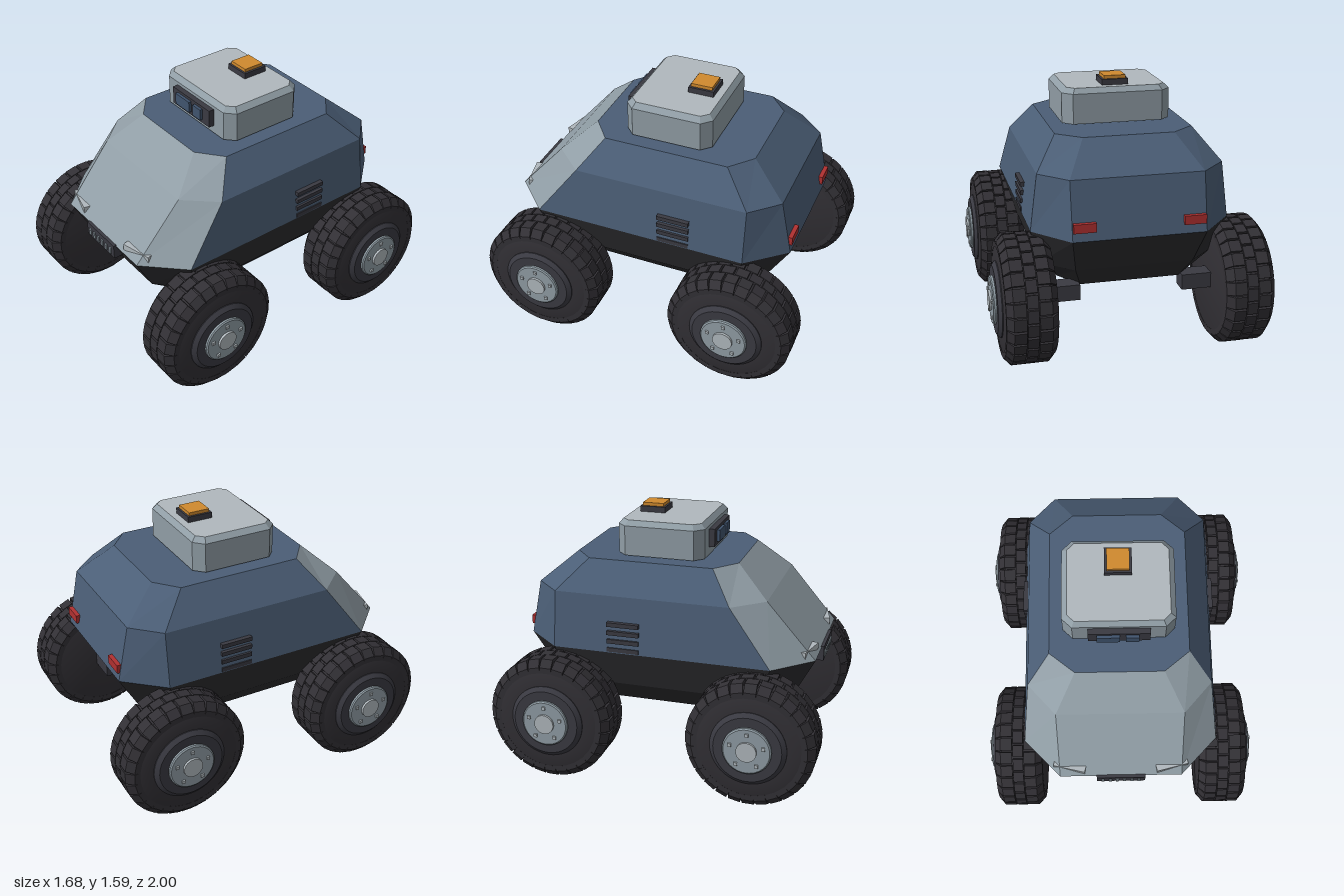
import * as THREE from 'three';
import { mergeGeometries, toCreasedNormals } from 'three/addons/utils/BufferGeometryUtils.js';

const mat = (name, color, flat = false) => {
  const m = new THREE.MeshStandardMaterial({ color, flatShading: flat });
  m.name = name;
  return m;
};

export function createModel() {
  const model = new THREE.Group();
  model.name = 'armouredRover';
  const blue = mat('blueArmour', 0x4b5e76, true);
  const grey = mat('greyArmour', 0x909da5, true);
  const pale = mat('paleMetal', 0xb0b8bd);
  const dark = mat('darkChassis', 0x2b2b2e, true);
  const rubber = mat('tyreRubber', 0x323035);
  const trim = mat('darkTrim', 0x3a3a42);
  const glass = mat('sensorGlass', 0x40546e);
  const amber = mat('amberBeacon', 0xd08a2e);
  const red = mat('redLamp', 0xb03030);

  const add = (name, geometry, material, parent = model) => {
    const mesh = new THREE.Mesh(geometry, material);
    mesh.name = name;
    parent.add(mesh);
    return mesh;
  };
  // Box given by its limits along x, y and z
  const box = (name, material, [x0, x1], [y0, y1], [z0, z1], parent) => {
    const g = new THREE.BoxGeometry(x1 - x0, y1 - y0, z1 - z0);
    g.translate((x0 + x1) / 2, (y0 + y1) / 2, (z0 + z1) / 2);
    return add(name, g, material, parent);
  };

  // Eight-cornered cross-section: half width, then side end, corner x and end z, front and back
  const ring = ([y, hw, sf, cf, zf, sb, cb, zb]) =>
    [[cf, zf], [hw, sf], [hw, sb], [cb, zb], [-cb, zb], [-hw, sb], [-hw, sf], [-cf, zf]]
      .map(([x, z]) => [x, y, z]);
  // Skin between sections, over the chosen sides (0 to 7)
  const loft = (sections, sides, top, bottom) => {
    const rings = sections.map(ring), pos = [];
    const tri = (a, b, c) => pos.push(...a, ...b, ...c);
    for (let i = 0; i + 1 < rings.length; i++) {
      for (const j of sides) {
        const k = (j + 1) % 8, lo = rings[i], hi = rings[i + 1];
        tri(lo[j], lo[k], hi[k]);
        tri(lo[j], hi[k], hi[j]);
      }
    }
    const first = rings[0], last = rings[rings.length - 1];
    for (let j = 1; j < 7; j++) {
      if (top) tri(last[0], last[j], last[j + 1]);
      if (bottom) tri(first[0], first[j + 1], first[j]);
    }
    const g = new THREE.BufferGeometry();
    g.setAttribute('position', new THREE.Float32BufferAttribute(pos, 3));
    g.computeVertexNormals();
    return g;
  };
  const all = [0, 1, 2, 3, 4, 5, 6, 7];

  // Hull: dark tub below, armour above with a grey nose
  const belt = [0.79, 0.59, 0.69, 0.37, 0.915, -0.635, 0.39, -0.865];
  const upper = [
    belt,
    [1.13, 0.547, 0.435, 0.38, 0.62, -0.635, 0.39, -0.797],
    [1.31, 0.41, 0.30, 0.26, 0.42, -0.465, 0.27, -0.585],
  ];
  add('hullArmour', loft(upper, [1, 2, 3, 4, 5], true, false), blue);
  add('noseArmour', loft(upper, [6, 7, 0], false, false), grey);
  add('lowerHull', loft([
    [0.43, 0.41, 0.48, 0.30, 0.64, -0.46, 0.30, -0.62],
    [0.57, 0.53, 0.60, 0.34, 0.80, -0.57, 0.35, -0.74],
    belt,
  ], all, false, true), dark);

  // Turret with a bevelled roof
  const turretBase = [1.32, 0.328, 0.16, 0.27, 0.215, -0.265, 0.27, -0.322];
  const turretEdge = [1.5, ...turretBase.slice(1)];
  const turretTop = [1.53, 0.297, 0.147, 0.255, 0.188, -0.252, 0.255, -0.295];
  add('turret', loft([turretBase, turretEdge, turretTop], all, false, true), grey);
  add('turretRoof', loft([turretTop, turretTop], [], true, false), pale);

  // Sensor window on the turret face
  box('sensorHousing', trim, [-0.18, 0.18], [1.37, 1.48], [0.2, 0.25]);
  box('wideLens', glass, [-0.13, 0.005], [1.393, 1.463], [0.24, 0.268]);
  box('narrowLens', glass, [0.04, 0.115], [1.393, 1.463], [0.24, 0.268]);

  // Roof beacon
  box('beaconBase', trim, [-0.08, 0.08], [1.525, 1.565], [-0.25, -0.092]);
  box('beacon', amber, [-0.066, 0.066], [1.56, 1.585], [-0.237, -0.105]);

  // Grille
  box('grille', trim, [-0.148, 0.148], [0.705, 0.795], [0.8, 0.93]);
  for (let i = 0; i < 6; i++) {
    const x = (i - 2.5) * 0.044;
    box('grilleSlat', grey, [x - 0.009, x + 0.009], [0.722, 0.765], [0.92, 0.937]);
  }

  for (const s of [-1, 1]) {
    const span = (a, b) => (s > 0 ? [a, b] : [-b, -a]);
    // Headlight, turned outward across the nose corner
    const lamp = add('headlight', new THREE.BoxGeometry(0.195, 0.04, 0.06), pale);
    lamp.position.set(s * 0.308, 0.827, 0.853);
    lamp.rotation.y = s * 0.235;
    box('tailLight', red, span(0.255, 0.385), [0.842, 0.895], [-0.87, -0.82]);
    // Side vents
    for (let i = 0; i < 4; i++) {
      const y = 0.966 - i * 0.0525;
      box('sideVent', trim, span(0.54, 0.593), [y - 0.013, y + 0.013], [-0.298, -0.1]);
    }
  }

  // Turned part about the wheel axis: points are [radius, x]
  const turned = (points) => {
    const g = new THREE.LatheGeometry(points.map(([r, x]) => new THREE.Vector2(r, x)), 48);
    return toCreasedNormals(g.rotateZ(-Math.PI / 2), 0.4);
  };
  const tyre = turned([[0, 0.49], [0.3, 0.49], [0.335, 0.5], [0.368, 0.535], [0.368, 0.74],
    [0.335, 0.77], [0.31, 0.78], [0.22, 0.785], [0, 0.785]]);
  const cover = turned([[0.225, 0.775], [0.225, 0.79], [0.2, 0.81], [0, 0.81]]);
  const hub = turned([[0.143, 0.8], [0.143, 0.822], [0.135, 0.828], [0, 0.828]]);
  const cap = turned([[0.06, 0.82], [0.06, 0.842], [0, 0.842]]);

  // Tread: staggered rows of blocks, the outer rows wrapping the shoulders
  const blocks = [];
  const profiles = [
    [[0.49, 0.305], [0.601, 0.35], [0.601, 0.383], [0.53, 0.383], [0.49, 0.34]],
    [[0.606, 0.35], [0.669, 0.35], [0.669, 0.383], [0.606, 0.383]],
    [[0.674, 0.35], [0.782, 0.305], [0.782, 0.34], [0.745, 0.383], [0.674, 0.383]],
  ];
  const count = 28, length = 0.072;
  profiles.forEach((p, row) => {
    const shape = new THREE.Shape(p.map(([x, r]) => new THREE.Vector2(x, r)));
    const block = new THREE.ExtrudeGeometry(shape, { depth: length, bevelEnabled: false });
    block.translate(0, 0, -length / 2);
    for (let i = 0; i < count; i++) {
      blocks.push(block.clone().rotateX(((i + (row === 1 ? 0.5 : 0)) / count) * Math.PI * 2));
    }
  });
  const tread = mergeGeometries(blocks);

  // Wheels with axle stubs
  for (const side of [0, 1]) {
    for (const z of [-0.617, 0.617]) {
      const wheel = new THREE.Group();
      wheel.name = (z > 0 ? 'front' : 'rear') + (side ? 'Right' : 'Left') + 'Wheel';
      wheel.position.set(0, 0.384, z);
      wheel.rotation.y = side * Math.PI;
      model.add(wheel);
      add('tyre', tyre, rubber, wheel);
      add('tread', tread, rubber, wheel);
      add('wheelCover', cover, trim, wheel);
      add('hub', hub, grey, wheel);
      add('hubCap', cap, pale, wheel);
      for (let i = 0; i < 5; i++) {
        const a = Math.PI * (0.5 + i * 0.4);
        const y = Math.sin(a) * 0.103, w = Math.cos(a) * 0.103;
        box('wheelBolt', pale, [0.82, 0.838], [y - 0.01, y + 0.01], [w - 0.01, w + 0.01], wheel);
      }
      box('axleStub', trim, [0.31, 0.5], [-0.03, 0.065], [-0.055, 0.055], wheel);
    }
  }
  return model;
}
